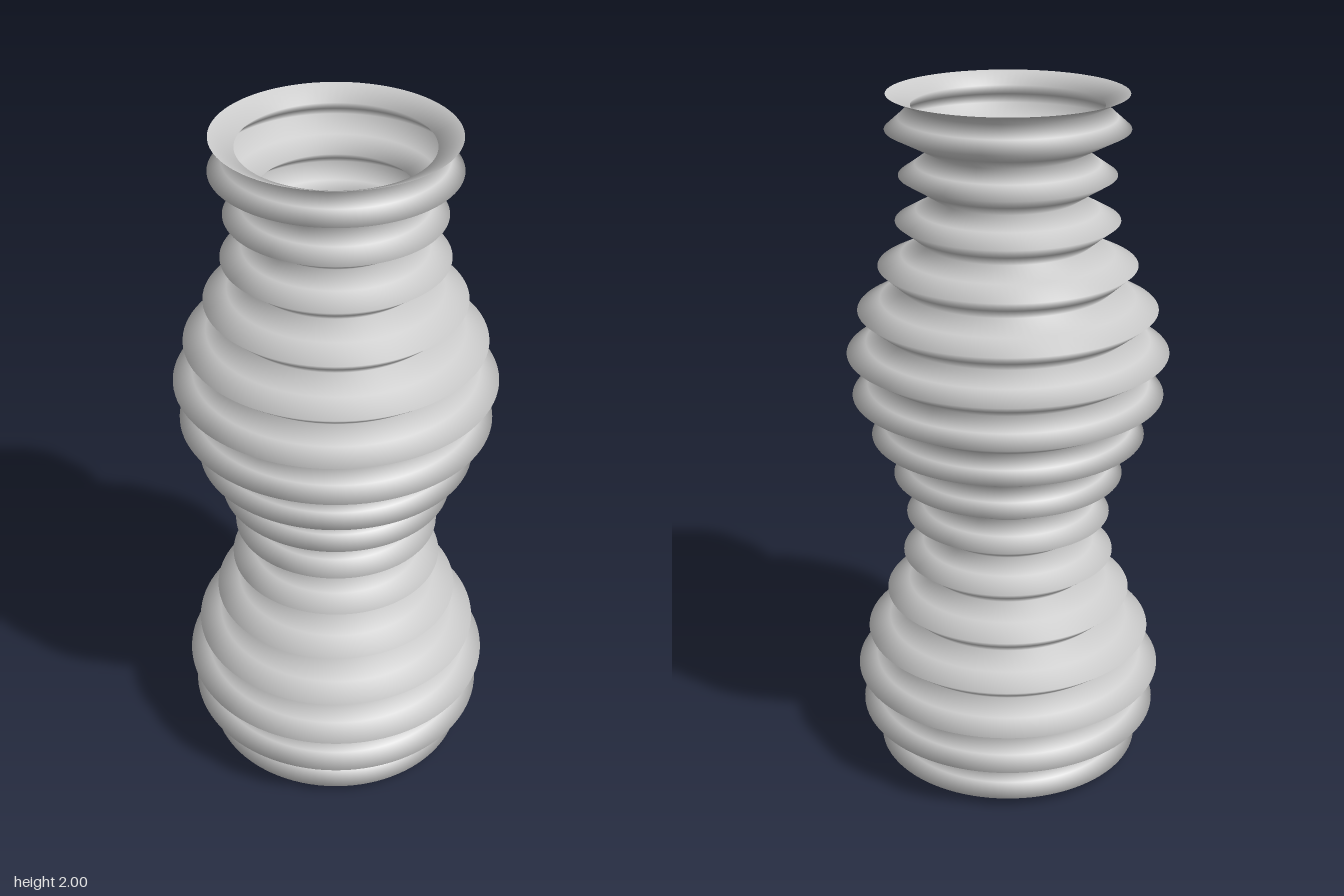
import * as THREE from 'three';

export function createModel() {
  const group = new THREE.Group();

  // Fine pleats riding on a slow double bulge, four samples per pleat
  const steps = 64, height = 2;
  const profile = [];
  for (let i = 0; i <= steps; i++) {
    const y = (i / steps) * height;
    const bulge = 0.08 * Math.sin(2 * Math.PI * y);
    const pleat = 0.05 * Math.sin(16 * Math.PI * y);
    profile.push(new THREE.Vector2(0.325 + bulge + pleat, y));
  }

  // Thin open sleeve, visible from inside and outside
  const sleeve = new THREE.Mesh(
    new THREE.LatheGeometry(profile, 96),
    new THREE.MeshStandardMaterial({ color: 0xcccccc, side: THREE.DoubleSide })
  );
  sleeve.name = 'pleatedSleeve';
  group.add(sleeve);
  return group;
}
